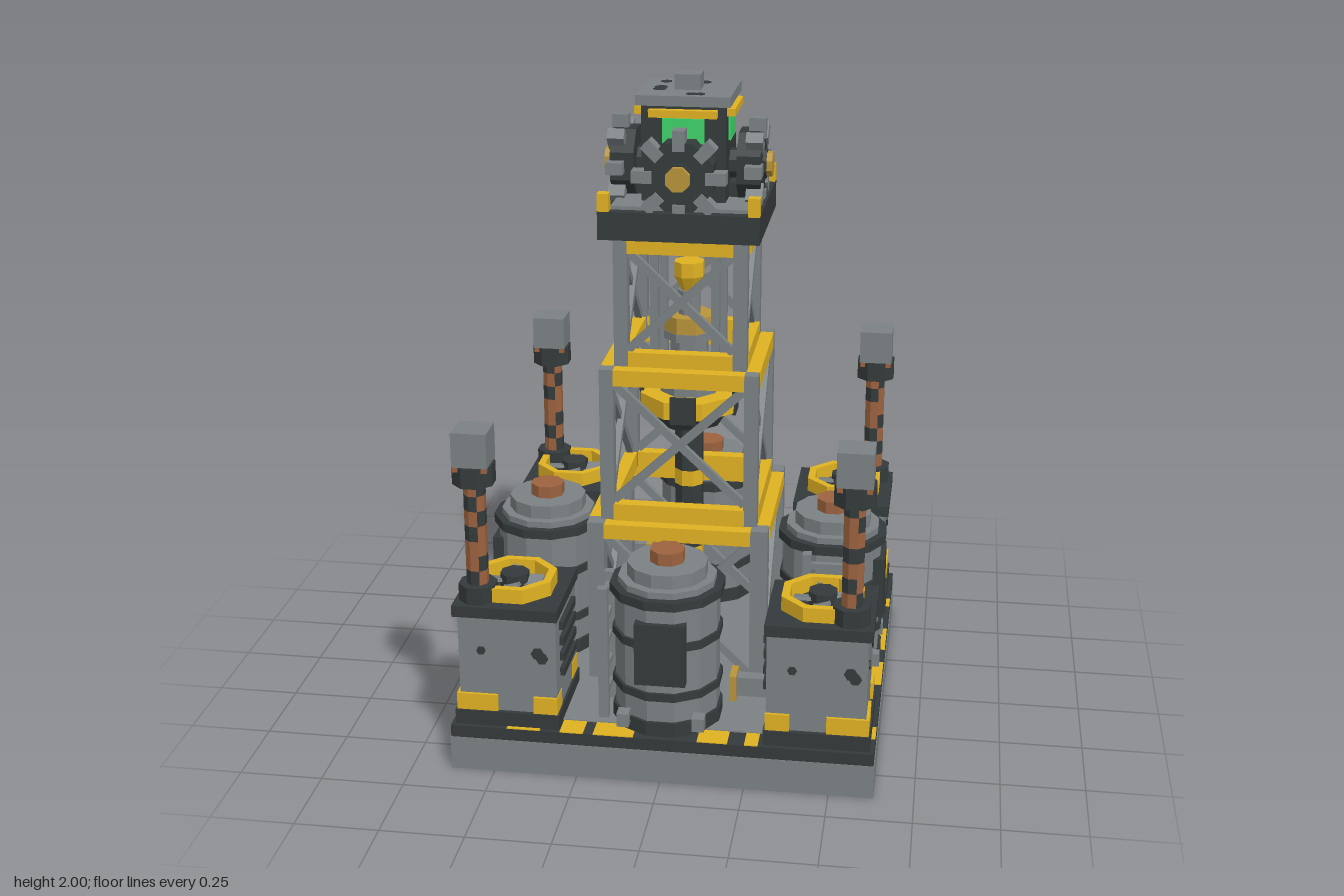
import * as THREE from 'three';

const mat = (name, color) => {
  const m = new THREE.MeshStandardMaterial({ color });
  m.name = name;
  return m;
};

export function createModel() {
  const steel = mat('steel grey', 0x7b8184);
  const dark = mat('dark iron', 0x343a3b);
  const yellow = mat('safety yellow', 0xe0b222);
  const rust = mat('rusty copper', 0x9c623f);
  const green = mat('green glass', 0x3fd468);
  const brass = mat('dull brass', 0xb8943a);

  const model = new THREE.Group();
  model.name = 'drillTower';

  // Faceted mesh helper
  const add = (parent, name, geo, material, x = 0, y = 0, z = 0) => {
    const flat = geo.index ? geo.toNonIndexed() : geo;
    flat.computeVertexNormals();
    const mesh = new THREE.Mesh(flat, material);
    mesh.name = name;
    mesh.position.set(x, y, z);
    parent.add(mesh);
    return mesh;
  };
  // Box given by its ranges on each axis
  const box = (parent, name, material, x0, x1, y0, y1, z0, z1) =>
    add(parent, name, new THREE.BoxGeometry(x1 - x0, y1 - y0, z1 - z0), material,
      (x0 + x1) / 2, (y0 + y1) / 2, (z0 + z1) / 2);
  // Upright prism with flat sides facing the axes
  const drum = (parent, name, material, r0, r1, y0, y1, sides, x = 0, z = 0) =>
    add(parent, name, new THREE.CylinderGeometry(r1, r0, y1 - y0, sides).rotateY(Math.PI / sides),
      material, x, (y0 + y1) / 2, z);
  // Prism lying along z
  const axle = (parent, name, material, r, z0, z1, x, y, sides = 8) =>
    add(parent, name, new THREE.CylinderGeometry(r, r, z1 - z0, sides).rotateY(Math.PI / sides).rotateX(Math.PI / 2),
      material, x, y, (z0 + z1) / 2);
  const group = (parent, name, x = 0, y = 0, z = 0) => {
    const g = new THREE.Group();
    g.name = name;
    g.position.set(x, y, z);
    parent.add(g);
    return g;
  };

  // Base slab
  box(model, 'baseSlab', steel, -0.632, 0.632, 0, 0.105, -0.632, 0.632);
  box(model, 'baseBorder', dark, -0.63, 0.63, 0.105, 0.143, -0.63, 0.63);
  box(model, 'basePlate', steel, -0.555, 0.555, 0.14, 0.147, -0.555, 0.555);

  function buildTank(parent) {
    const t = group(parent, 'tank', 0, 0, 0.455);
    drum(t, 'tankBody', steel, 0.157, 0.157, 0.14, 0.58, 12);
    for (const [y0, y1, r] of [[0.145, 0.19, 0.166], [0.26, 0.285, 0.166], [0.42, 0.445, 0.166], [0.555, 0.583, 0.172]])
      drum(t, 'tankBand', dark, r, r, y0, y1, 12);
    drum(t, 'tankShoulder', steel, 0.147, 0.147, 0.58, 0.603, 12);
    drum(t, 'tankTop', steel, 0.12, 0.12, 0.603, 0.645, 12);
    drum(t, 'tankCap', rust, 0.053, 0.053, 0.645, 0.683, 8);
    box(t, 'tankPanel', dark, -0.075, 0.075, 0.315, 0.51, 0.12, 0.167);
    for (const s of [-1, 1])
      box(t, 'tankFoot', steel, s * 0.112 - 0.018, s * 0.112 + 0.018, 0.17, 0.212, 0.12, 0.163);
    axle(t, 'feedPipe', rust, 0.036, -0.235, -0.13, 0, 0.24);
    // Ladder on the tank's side
    for (const z of [-0.065, 0.06])
      box(t, 'ladderRail', steel, -0.2, -0.17, 0.145, 0.57, z - 0.013, z + 0.013);
    for (let y = 0.2; y < 0.58; y += 0.08)
      box(t, 'ladderRung', steel, -0.195, -0.178, y, y + 0.02, -0.065, 0.06);
  }

  function buildCorner(parent) {
    const c = group(parent, 'generator', 0.46, 0, 0.46);
    box(c, 'generatorPlinth', dark, -0.157, 0.157, 0.14, 0.19, -0.157, 0.157);
    box(c, 'generatorBody', steel, -0.15, 0.143, 0.19, 0.5, -0.15, 0.143);
    box(c, 'generatorLid', dark, -0.157, 0.157, 0.495, 0.53, -0.157, 0.157);
    for (const sx of [-1, 1]) for (const sz of [-1, 1]) {
      const w = sx + sz > 0 ? 0.062 : 0.036;
      box(c, 'cornerGuard', yellow, sx * (0.152 - w) - w, sx * (0.152 - w) + w, 0.19, 0.243,
        sz * (0.152 - w) - w, sz * (0.152 - w) + w);
    }
    // Louvres on the two inner faces
    for (let i = 0; i < 4; i++) {
      const y = 0.29 + i * 0.05;
      box(c, 'louvre', dark, -0.09, 0.09, y, y + 0.026, -0.164, -0.14);
      box(c, 'louvre', dark, -0.164, -0.14, y, y + 0.026, -0.09, 0.09);
    }
    // Worn spots on the two outer faces
    for (const [u, y, r] of [[0.095, 0.385, 0.02], [0.108, 0.37, 0.019], [-0.075, 0.385, 0.014]]) {
      axle(c, 'wornSpot', dark, r, 0.14, 0.148, u, y, 6);
      add(c, 'wornSpot', new THREE.CylinderGeometry(r, r, 0.008, 6).rotateZ(Math.PI / 2), dark, 0.144, y, -u);
    }
    // Roof fan
    const V = (x, y) => new THREE.Vector2(x, y);
    add(c, 'fanRing', new THREE.LatheGeometry(
      [V(0.128, 0), V(0.128, 0.045), V(0.103, 0.045), V(0.103, 0), V(0.128, 0)], 8, Math.PI / 8), yellow, 0, 0.53, 0);
    drum(c, 'fanHub', dark, 0.044, 0.044, 0.53, 0.58, 8);
    for (let i = 0; i < 4; i++) {
      const blade = add(c, 'fanBlade', new THREE.BoxGeometry(0.06, 0.012, 0.05).rotateX(0.3).translate(0.055, 0, 0),
        steel, 0, 0.552, 0);
      blade.rotation.y = i * Math.PI / 2;
    }
    // Exhaust stack with patchy rust
    const s = group(c, 'exhaustStack', 0.09, 0, 0.09);
    drum(s, 'stackFoot', dark, 0.058, 0.058, 0.53, 0.583, 8);
    const rows = 7, h = 0.33 / rows;
    for (let i = 0; i < rows; i++) for (let j = 0; j < 4; j++)
      add(s, 'stackPatch', new THREE.CylinderGeometry(0.033, 0.033, h, 2, 1, true, j * Math.PI / 2 + Math.PI / 8, Math.PI / 2),
        (i * 2 + j * 3) % 5 < 2 ? dark : rust, 0, 0.58 + (i + 0.5) * h, 0);
    drum(s, 'stackCollar', dark, 0.064, 0.064, 0.898, 0.96, 8);
    box(s, 'stackCap', steel, -0.052, 0.052, 0.96, 1.065, -0.052, 0.052);
    for (const [x, z] of [[1, 1], [1, -1], [-1, 1], [-1, -1]])
      box(s, 'collarRust', rust, x * 0.04 - 0.01, x * 0.04 + 0.01, 0.945, 0.961, z * 0.04 - 0.01, z * 0.04 + 0.01);
    // Outlet duct with flange
    box(c, 'outletDuct', steel, -0.26, -0.14, 0.225, 0.285, -0.02, 0.02);
    box(c, 'ductFlange', brass, -0.27, -0.25, 0.215, 0.295, -0.038, 0.038);
  }

  // One side of a tower tier: a leg and a pair of crossed braces
  function buildTier(parent, c, w, y0, y1, b0, b1) {
    box(parent, 'towerLeg', steel, c - w / 2, c + w / 2, y0, y1, c - w / 2, c + w / 2);
    const span = 2 * (c - w / 2), rise = b1 - b0;
    for (const s of [-1, 1]) {
      const brace = add(parent, 'crossBrace', new THREE.BoxGeometry(Math.hypot(span, rise), 0.024, 0.02),
        steel, 0, (b0 + b1) / 2, c + s * 0.004);
      brace.rotation.z = s * Math.atan2(rise, span);
    }
  }
  const beam = (parent, half, y0, y1, z0, z1) =>
    box(parent, 'towerBeam', yellow, -half, half, y0, y1, z0, z1);

  function buildGear(parent) {
    const g = group(parent, 'headGear', 0, 1.735, 0);
    axle(g, 'gearDisc', dark, 0.108, 0.152, 0.222, 0, 0);
    for (let i = 0; i < 8; i++) {
      const tooth = add(g, 'gearTooth', new THREE.BoxGeometry(0.036, 0.06, 0.05).translate(0, 0.108, 0), steel, 0, 0, 0.204);
      tooth.rotation.z = i * Math.PI / 4;
    }
    axle(g, 'gearAxle', dark, 0.045, 0.1, 0.233, 0, 0);
    axle(g, 'gearHub', brass, 0.038, 0.22, 0.25, 0, 0);
    box(g, 'gearMount', dark, -0.045, 0.045, -0.105, -0.05, 0.12, 0.2);
  }

  // Hazard paint along the front and back edges, then along the side edges
  const hazards = [
    [[-0.3, -0.23], [-0.2, -0.08], [0.11, 0.2], [0.25, 0.29], [-0.46, -0.36]],
    [[-0.2, -0.05], [0.04, 0.19], [-0.54, -0.47], [0.36, 0.42]],
  ];

  // Everything that repeats on the four sides
  for (let q = 0; q < 4; q++) {
    const side = group(model, 'side' + (q + 1));
    side.rotation.y = q * Math.PI / 2;
    for (const [a, b] of hazards[q % 2])
      box(side, 'hazardStripe', yellow, a, b, 0.14, 0.1455, 0.556, 0.6295);
    buildTank(side);
    buildCorner(side);
    buildTier(side, 0.25, 0.052, 0.145, 0.67, 0.18, 0.62);
    buildTier(side, 0.218, 0.042, 0.67, 1.15, 0.73, 1.1);
    buildTier(side, 0.178, 0.042, 1.15, 1.55, 1.2, 1.5);
    box(side, 'legFoot', yellow, 0.218, 0.275, 0.145, 0.185, 0.218, 0.275);
    beam(side, 0.224, 0.62, 0.667, 0.235, 0.278);
    beam(side, 0.2, 0.667, 0.72, 0.2, 0.24);
    beam(side, 0.197, 1.1, 1.15, 0.198, 0.24);
    beam(side, 0.157, 1.15, 1.195, 0.16, 0.2);
    beam(side, 0.157, 1.5, 1.55, 0.16, 0.205);
    box(side, 'innerPost', steel, 0.08, 0.105, 1.1, 1.55, 0.08, 0.105);
    // Platform rim, corner lamps and head windows
    box(side, 'platformRim', dark, -0.237, 0.205, 1.548, 1.632, 0.205, 0.237);
    box(side, 'cornerLamp', yellow, 0.203, 0.237, 1.63, 1.685, 0.203, 0.237);
    box(side, 'headWindow', green, -0.062, 0.062, 1.815, 1.888, 0.122, 0.131);
    box(side, 'headTrim', yellow, -0.1, 0.1, 1.893, 1.915, 0.12, 0.148);
    buildGear(side);
  }

  // Central drill shaft: bottom radius, top radius, bottom, top, material
  const core = [
    [0.06, 0.06, 0.145, 0.3, dark], [0.046, 0.046, 0.3, 0.5, yellow], [0.046, 0.046, 0.5, 0.71, dark],
    [0.047, 0.047, 0.71, 0.76, yellow], [0.046, 0.046, 0.76, 0.925, dark],
    [0.1, 0.132, 0.915, 0.965, dark], [0.155, 0.155, 0.965, 1.02, yellow], [0.092, 0.092, 1.02, 1.1, steel],
    [0.06, 0.06, 1.1, 1.19, steel], [0.08, 0.08, 1.19, 1.215, steel], [0.078, 0.078, 1.215, 1.265, brass],
    [0.035, 0.035, 1.265, 1.34, steel], [0.02, 0.047, 1.33, 1.385, yellow], [0.047, 0.047, 1.385, 1.43, yellow],
  ];
  for (const [r0, r1, y0, y1, m] of core) drum(model, 'drillShaft', m, r0, r1, y0, y1, 8);
  for (let i = 0; i < 4; i++) {
    const plate = add(model, 'shaftGuard', new THREE.BoxGeometry(0.08, 0.085, 0.012), dark, 0, 1.0, 0);
    plate.rotation.y = i * Math.PI / 2;
    plate.position.set(Math.sin(plate.rotation.y) * 0.143, 0.995, Math.cos(plate.rotation.y) * 0.143);
  }

  // Platform deck and head
  box(model, 'platform', dark, -0.22, 0.22, 1.55, 1.62, -0.22, 0.22);
  box(model, 'platformDeck', steel, -0.203, 0.203, 1.615, 1.642, -0.203, 0.203);
  box(model, 'headBody', dark, -0.124, 0.124, 1.64, 1.93, -0.124, 0.124);
  box(model, 'headRoof', steel, -0.138, 0.138, 1.925, 1.955, -0.138, 0.138);
  box(model, 'roofVent', steel, -0.038, 0.038, 1.955, 2.0, -0.038, 0.038);
  for (const [x, z, r] of [[-0.08, -0.085, 0.017], [0.005, -0.085, 0.02], [0.035, -0.085, 0.02], [-0.082, 0.005, 0.02],
    [-0.082, 0.035, 0.02], [0.02, 0.1, 0.016], [0.045, 0.1, 0.016]])
    drum(model, 'roofSpot', dark, r, r, 1.952, 1.957, 7, x, z);

  return model;
}
